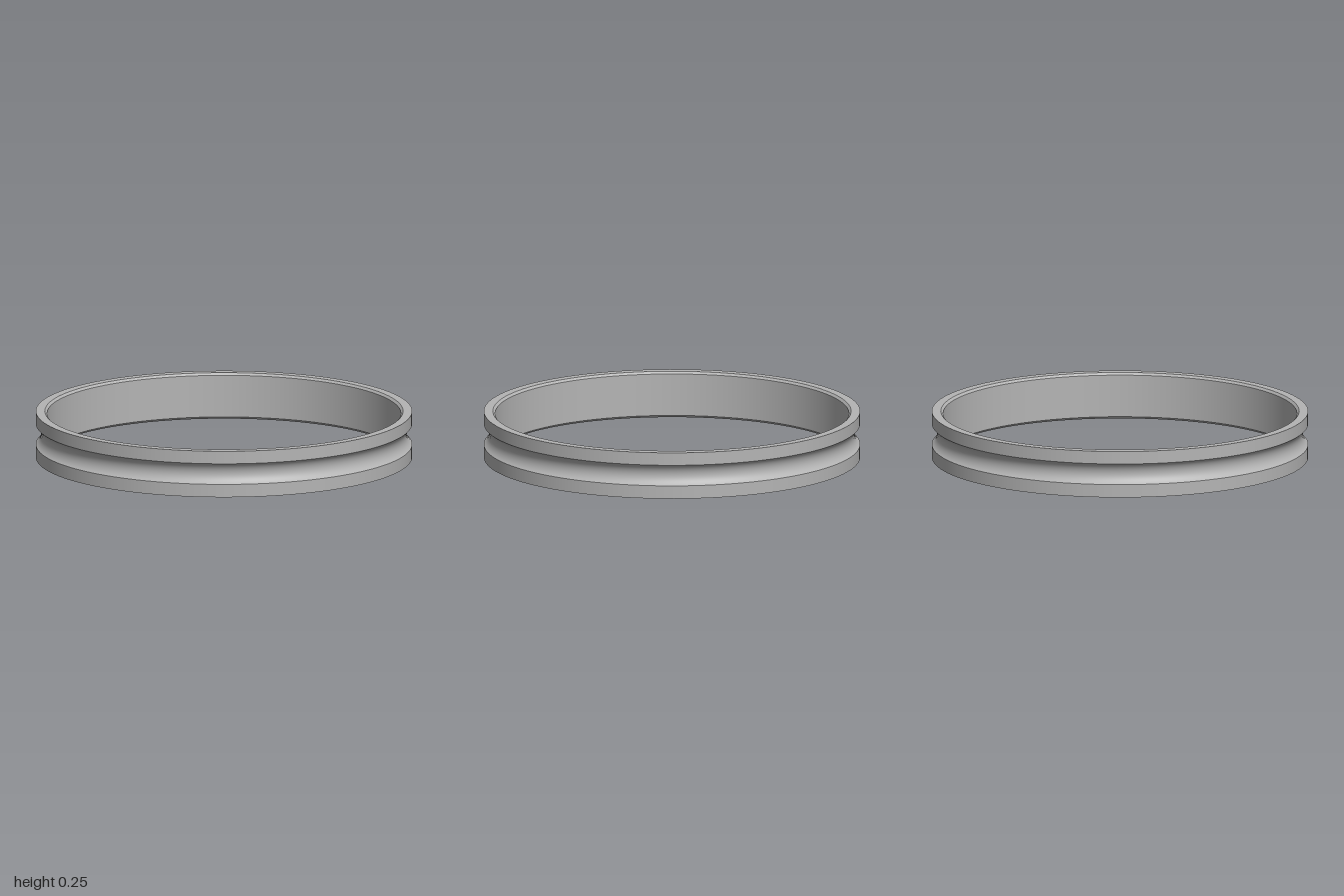
import * as THREE from 'three';

const HEIGHT = 0.25, OUTER = 1, INNER = 0.94, CHAMFER = 0.012;
const GROOVE_LOW = 0.07, GROOVE_HIGH = 0.182, GROOVE_DEPTH = 0.028;

export function createModel() {
  const ring = new THREE.Group();
  ring.name = 'grooved ring';
  const steel = new THREE.MeshStandardMaterial({ color: 0xb4b4b4 });
  steel.name = 'steel grey';

  // Each band is its own lathe, so the edges between bands stay sharp
  const band = (name, points) => {
    const profile = points.map(([r, y]) => new THREE.Vector2(r, y));
    const mesh = new THREE.Mesh(new THREE.LatheGeometry(profile, 128), steel);
    mesh.name = name;
    ring.add(mesh);
  };

  // Circular arc of the raceway, cut into the outer wall
  const half = (GROOVE_HIGH - GROOVE_LOW) / 2;
  const middle = (GROOVE_HIGH + GROOVE_LOW) / 2;
  const radius = (half ** 2 + GROOVE_DEPTH ** 2) / (2 * GROOVE_DEPTH);
  const centre = OUTER - GROOVE_DEPTH + radius;
  const sweep = Math.asin(half / radius);
  const groove = [];
  for (let i = 0; i <= 16; i++) {
    const a = sweep * (i / 8 - 1);
    groove.push([centre - radius * Math.cos(a), middle + radius * Math.sin(a)]);
  }

  // Outer wall, from bottom to top
  band('lowerShoulder', [[OUTER, 0], [OUTER, GROOVE_LOW]]);
  band('raceway', groove);
  band('upperShoulder', [[OUTER, GROOVE_HIGH], [OUTER, HEIGHT]]);

  // Top face, chamfered bore and bottom face
  const rim = INNER + CHAMFER;
  band('topFace', [[OUTER, HEIGHT], [rim, HEIGHT]]);
  band('topChamfer', [[rim, HEIGHT], [INNER, HEIGHT - CHAMFER]]);
  band('bore', [[INNER, HEIGHT - CHAMFER], [INNER, CHAMFER]]);
  band('bottomChamfer', [[INNER, CHAMFER], [rim, 0]]);
  band('bottomFace', [[rim, 0], [OUTER, 0]]);

  return ring;
}
